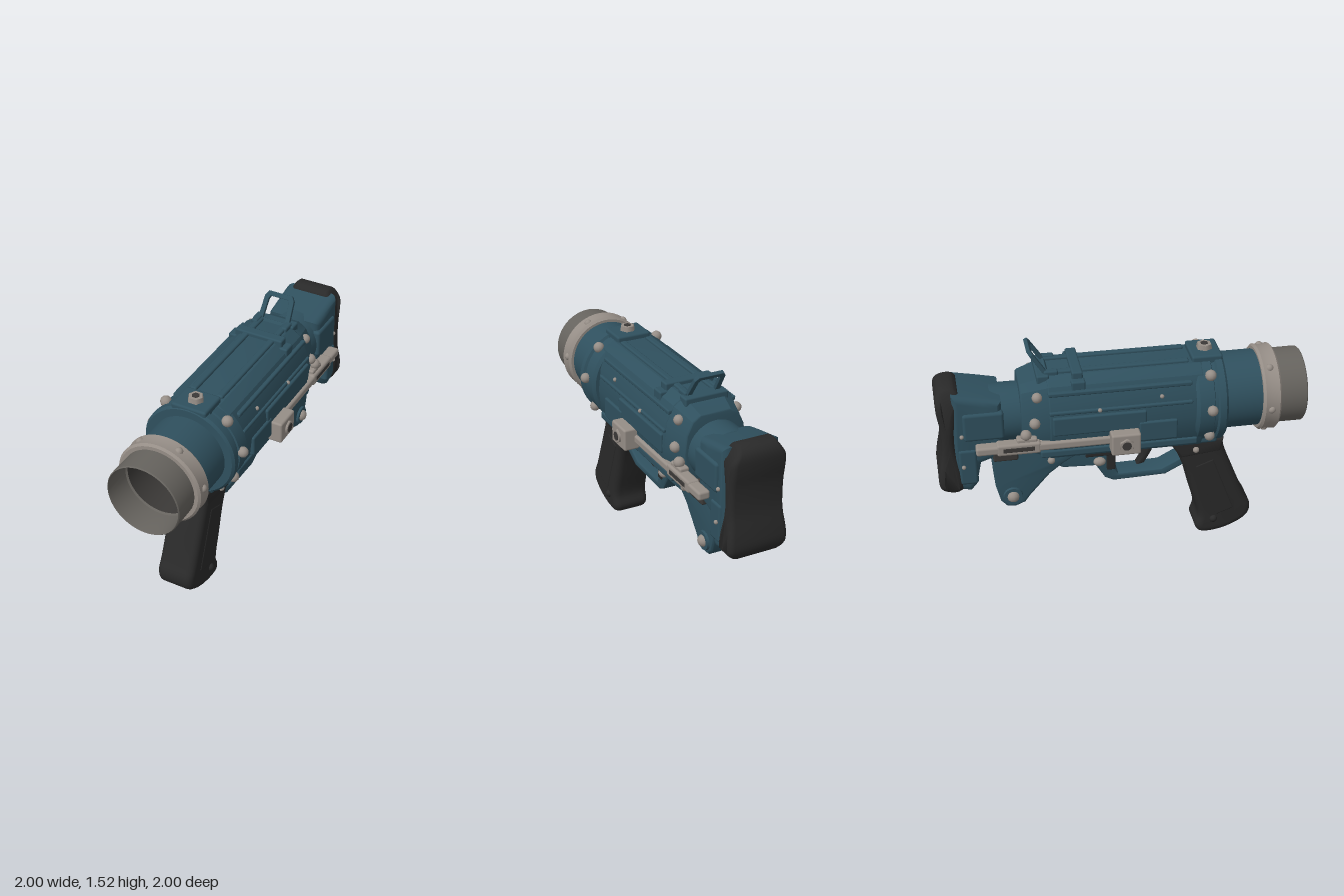
import * as THREE from 'three';
import { toCreasedNormals } from 'three/addons/utils/BufferGeometryUtils.js';
import { RoundedBoxGeometry } from 'three/addons/geometries/RoundedBoxGeometry.js';

const mat = (name, color, side = THREE.FrontSide) => {
  const m = new THREE.MeshStandardMaterial({ color, side });
  m.name = name;
  return m;
};

export function createModel() {
  const blue = mat('steel blue', 0x2f505e, THREE.DoubleSide);
  const black = mat('rubber black', 0x292929);
  const pale = mat('pale metal', 0x968e87, THREE.DoubleSide);
  const grey = mat('muzzle grey', 0x66635e, THREE.DoubleSide);
  const dark = mat('dark metal', 0x3b3937, THREE.DoubleSide);

  // Local frame: muzzle at -x, stock at +x, z across; turned 45 degrees at the end.
  const gun = new THREE.Group();
  gun.name = 'launcher';
  const AXIS = 1.065;

  const add = (name, geo, material, x = 0, y = 0, z = 0) => {
    const m = new THREE.Mesh(geo, material);
    m.name = name;
    m.position.set(x, y, z);
    gun.add(m);
    return m;
  };
  const box = (name, material, x0, x1, y0, y1, z0, z1, r = 0.012) =>
    add(name, new RoundedBoxGeometry(x1 - x0, y1 - y0, z1 - z0, 2, r), material,
      (x0 + x1) / 2, (y0 + y1) / 2, (z0 + z1) / 2);
  const bothSides = (fn) => [1, -1].forEach(fn);
  const boxPair = (name, material, x0, x1, y0, y1, z0, z1, r) =>
    bothSides((s) => box(name, material, x0, x1, y0, y1, Math.min(s * z0, s * z1), Math.max(s * z0, s * z1), r));

  const makeShape = (pts, smooth) => {
    const v = pts.map((p) => new THREE.Vector2(...p));
    return new THREE.Shape(smooth ? new THREE.CatmullRomCurve3(
      v.map((p) => new THREE.Vector3(p.x, p.y, 0)), true, 'centripetal').getPoints(60).slice(0, -1)
      .map((p) => new THREE.Vector2(p.x, p.y)) : v);
  };
  const extrude = (shape, depth, bevel) => {
    const g = new THREE.ExtrudeGeometry(shape, {
      depth: depth - 2 * bevel, bevelEnabled: bevel > 0, bevelThickness: bevel, bevelSize: bevel,
      bevelOffset: -bevel, bevelSegments: 4, curveSegments: 16,
    });
    return g.translate(0, 0, bevel - depth / 2);
  };
  // Side profile (x, y), given thickness across z; widthAt(y) may scale that thickness
  const profile = (name, material, pts, half, bevel, smooth = false, widthAt = () => 1) => {
    const g = extrude(makeShape(pts, smooth), half * 2, bevel);
    const p = g.attributes.position;
    for (let i = 0; i < p.count; i++) p.setZ(i, p.getZ(i) * widthAt(p.getY(i)));
    return add(name, toCreasedNormals(g, 0.7), material);
  };
  // Half cross-section (z, y) mirrored and run along x; the rear end is scaled about the axis
  const section = (name, material, half, x0, x1, bevel, end = 1) => {
    const pts = [...half, ...half.map(([z, y]) => [-z, y]).reverse()];
    const g = extrude(makeShape(pts), x1 - x0, bevel).rotateY(Math.PI / 2).translate((x0 + x1) / 2, 0, 0);
    const p = g.attributes.position;
    for (let i = 0; i < p.count; i++) {
      const k = 1 + (end - 1) * (p.getX(i) - x0) / (x1 - x0);
      p.setY(i, AXIS + (p.getY(i) - AXIS) * k);
      p.setZ(i, p.getZ(i) * k);
    }
    return add(name, toCreasedNormals(g, 0.5), material);
  };
  // Round part about the bore from (x, radius) points
  const turned = (name, material, pts, y = AXIS) => {
    const g = new THREE.LatheGeometry(pts.map(([x, r]) => new THREE.Vector2(r, x)), 48);
    return add(name, toCreasedNormals(g.rotateZ(-Math.PI / 2), 0.5), material, 0, y, 0);
  };
  const bolt = (x, y, z, r = 0.03) => add('bolt', new THREE.SphereGeometry(r, 12, 8), pale, x, y, z);

  // Barrel: open muzzle tube with dark bore, clamp ring, blue sleeve and collar
  turned('muzzleTube', grey, [[-0.97, 0.225], [-0.98, 0.235], [-1.155, 0.237], [-1.167, 0.241],
    [-1.16, 0.247], [-0.85, 0.245]]);
  turned('bore', dark, [[-0.75, 0], [-0.75, 0.222], [-0.97, 0.225]]);
  turned('clampRing', pale, [[-0.985, 0.24], [-0.985, 0.27], [-0.972, 0.284], [-0.92, 0.277],
    [-0.88, 0.284], [-0.865, 0.27], [-0.865, 0.24]]);
  turned('barrelSleeve', blue, [[-0.88, 0.246], [-0.88, 0.252], [-0.55, 0.252]]);
  turned('collar', blue, [[-0.625, 0.24], [-0.625, 0.302], [-0.61, 0.317], [-0.57, 0.317], [-0.56, 0.3],
    [-0.54, 0.3], [-0.535, 0.31], [-0.44, 0.31], [-0.42, 0.29], [-0.42, 0.2]]);
  for (let i = 0; i < 6; i++) {
    const a = 0.1 + i * Math.PI / 3;
    bolt(-0.92, AXIS + Math.sin(a) * 0.268, Math.cos(a) * 0.268, 0.027);
  }

  // Receiver
  const hull = [[0.13, 1.352], [0.2, 1.305], [0.25, 1.2], [0.268, 1.04], [0.255, 0.9], [0.19, 0.78]];
  section('receiver', blue, hull, -0.48, 0.52, 0.012);
  section('receiverTail', blue, hull, 0.5, 0.69, 0.01, 0.79);
  box('topPlate', blue, -0.62, -0.42, 1.33, 1.388, -0.12, 0.12, 0.015);
  add('topNut', new THREE.CylinderGeometry(0.048, 0.055, 0.04, 6), pale, -0.523, 1.4, 0);
  add('topNutSocket', new THREE.CylinderGeometry(0.025, 0.025, 0.006, 6), dark, -0.523, 1.421, 0);
  boxPair('topRail', blue, -0.4, 0.52, 1.335, 1.37, 0.07, 0.115);
  box('topStrap', blue, 0.29, 0.36, 1.31, 1.38, -0.17, 0.17);
  boxPair('strapFoot', blue, 0.28, 0.37, 1.27, 1.335, 0.15, 0.215);
  box('rearBand', blue, 0.5, 0.58, 1.3, 1.362, -0.15, 0.15);
  boxPair('upperRib', blue, -0.4, 0.52, 1.25, 1.28, 0.2, 0.237, 0.01);
  boxPair('middleRib', blue, -0.4, 0.52, 1.135, 1.16, 0.23, 0.27, 0.01);
  boxPair('sidePanel', blue, -0.1, 0.5, 0.99, 1.12, 0.2, 0.278);
  boxPair('frontPad', blue, -0.3, -0.05, 0.9, 1.04, 0.2, 0.285);
  boxPair('lowerRib', blue, -0.44, 0.58, 0.82, 0.87, 0.15, 0.25);

  // Side blocks with slotted charging rods
  boxPair('sideBlock', pale, -0.05, 0.14, 0.85, 1.0, 0.24, 0.352, 0.014);
  boxPair('chargingRod', pale, 0.12, 0.99, 0.895, 0.952, 0.2, 0.28, 0.016);
  boxPair('rodSleeve', pale, 0.58, 0.86, 0.882, 0.962, 0.2, 0.282, 0.016);
  boxPair('rodSlot', dark, 0.62, 0.82, 0.908, 0.938, 0.279, 0.285, 0.003);
  boxPair('rodClip', pale, 0.6, 0.73, 0.95, 0.985, 0.2, 0.265, 0.012);
  bothSides((s) => {
    add('blockNut', new THREE.CylinderGeometry(0.045, 0.05, 0.02, 6), pale, 0.045, 0.925, s * 0.355).rotation.x = s * Math.PI / 2;
    add('blockNutSocket', new THREE.CylinderGeometry(0.03, 0.03, 0.008, 16), dark, 0.045, 0.925, s * 0.364).rotation.x = s * Math.PI / 2;
    // Bolts on collar, receiver, guard and fin
    [[-0.52, 1.3, 0.215, 0.037], [-0.516, 1.1, 0.32, 0.035], [-0.516, 0.88, 0.255, 0.035],
      [0.587, 1.24, 0.2, 0.034], [0.61, 1.075, 0.235, 0.036], [0.67, 1.0, 0.24, 0.036],
      [0.5, 0.71, 0.11, 0.025], [-0.46, 0.7, 0.135, 0.022],
      [0.05, 0.775, 0.17, 0.018], [-0.2, 1.2, 0.25, 0.014], [0.2, 1.15, 0.268, 0.014],
      [1.07, 1.0, 0.195, 0.014], [1.07, 0.78, 0.205, 0.014]].forEach(([x, y, z, r]) => bolt(x, y, s * z, r));
    bolt(0.18, 0.655, s * 0.095, 0.03).scale.x = 1.4;
    add('finPivot', new THREE.CylinderGeometry(0.062, 0.07, 0.03, 16), blue, 0.76, 0.46, s * 0.105).rotation.x = s * Math.PI / 2;
    bolt(0.76, 0.46, s * 0.11, 0.042);
  });

  // Flip-up sight: leaning open frame
  const frame = makeShape([[-0.115, 0], [0.115, 0], [0.105, 0.18], [0.085, 0.212], [-0.085, 0.212], [-0.105, 0.18]]);
  frame.holes.push(makeShape([[-0.08, 0.03], [-0.074, 0.16], [-0.064, 0.18], [0.064, 0.18], [0.074, 0.16], [0.08, 0.03]]));
  const sight = add('flipSight', extrude(frame, 0.026, 0.004).rotateY(Math.PI / 2), blue, 0.505, 1.338, 0);
  sight.rotation.z = -0.58;
  boxPair('sightHinge', blue, 0.44, 0.53, 1.32, 1.38, 0.085, 0.13);

  // Underside: lower frame, trigger guard, trigger
  box('lowerFrame', blue, -0.6, 0.55, 0.75, 0.83, -0.15, 0.15, 0.02);
  box('triggerHousing', black, -0.34, 0.1, 0.725, 0.77, -0.09, 0.09, 0.01);
  profile('triggerGuard', blue, [[-0.42, 0.57], [-0.27, 0.49], [0.08, 0.48], [0.14, 0.51], [0.2, 0.61],
    [0.42, 0.62], [0.5, 0.67], [0.5, 0.77], [0.06, 0.77], [0.08, 0.7], [0.08, 0.58], [0.05, 0.53],
    [-0.24, 0.535], [-0.4, 0.62]], 0.075, 0.012);
  boxPair('guardInset', black, 0.1, 0.27, 0.685, 0.757, 0.06, 0.083, 0.008);
  boxPair('guardPost', black, 0.07, 0.13, 0.57, 0.757, 0.04, 0.08, 0.008);
  profile('trigger', black, [[-0.2, 0.75], [-0.18, 0.66], [-0.13, 0.57], [-0.08, 0.56], [-0.12, 0.63],
    [-0.12, 0.75]], 0.035, 0.01);
  profile('rearFin', blue, [[0.22, 0.8], [0.42, 0.67], [0.51, 0.6], [0.64, 0.45], [0.68, 0.395], [0.74, 0.37],
    [0.8, 0.375], [0.84, 0.42], [0.87, 0.54], [0.89, 0.8]], 0.105, 0.02);
  boxPair('underBracket', dark, 0.72, 0.88, 0.79, 0.89, 0.1, 0.195);

  // Grip
  profile('grip', black, [[-0.63, 0.79], [-0.66, 0.68], [-0.73, 0.5], [-0.82, 0.28], [-0.86, 0.2], [-0.85, 0.12],
    [-0.76, 0.05], [-0.62, 0.005], [-0.51, 0.01], [-0.48, 0.06], [-0.5, 0.14], [-0.455, 0.32], [-0.4, 0.52],
    [-0.36, 0.62], [-0.31, 0.79]], 0.128, 0.045, true);
  profile('gripCollar', black, [[-0.65, 0.77], [-0.63, 0.67], [-0.36, 0.64], [-0.28, 0.77]], 0.135, 0.02);
  bothSides((s) => {
    box('gripPanel', black, -0.665, -0.535, 0.16, 0.6, s * 0.12 - 0.012, s * 0.12 + 0.012, 0.01).rotation.z = -0.36;
    add('gripStud', new THREE.SphereGeometry(0.028, 12, 8), black, -0.6, 0.12, s * 0.122);
  });

  // Stock: round neck, shaped body and rubber butt pad
  turned('stockNeck', blue, [[0.6, 0.185], [0.7, 0.19], [0.87, 0.19], [0.9, 0.15], [0.9, 0]], 1.05);
  profile('stock', blue, [[0.81, 1.22], [0.92, 1.245], [1.12, 1.285], [1.13, 0.6], [1.03, 0.575], [0.99, 0.62],
    [0.955, 0.78], [0.81, 0.83]], 0.19, 0.045);
  boxPair('stockPanel', blue, 0.8, 1.06, 0.965, 1.16, 0.14, 0.208, 0.02);
  boxPair('stockLowerRib', blue, 0.98, 1.1, 0.64, 0.9, 0.14, 0.2, 0.02);
  const padWidth = (y) => 1 - 0.08 * THREE.MathUtils.smoothstep(y, 0.68, 0.85)
    - 0.25 * THREE.MathUtils.smoothstep(y, 1.19, 1.31) - 0.2 * (1 - THREE.MathUtils.smoothstep(y, 0.56, 0.63));
  profile('buttPad', black, [[1.07, 1.27], [1.1, 1.305], [1.18, 1.3], [1.215, 1.26], [1.217, 1.16], [1.2, 1.04],
    [1.2, 0.88], [1.225, 0.74], [1.232, 0.64], [1.2, 0.575], [1.12, 0.555], [1.075, 0.59], [1.085, 0.72],
    [1.115, 0.95], [1.09, 1.15]], 0.2, 0.035, true, padWidth);

  gun.rotation.y = Math.PI / 4;
  const model = new THREE.Group();
  model.name = 'model';
  model.add(gun);
  return model;
}
